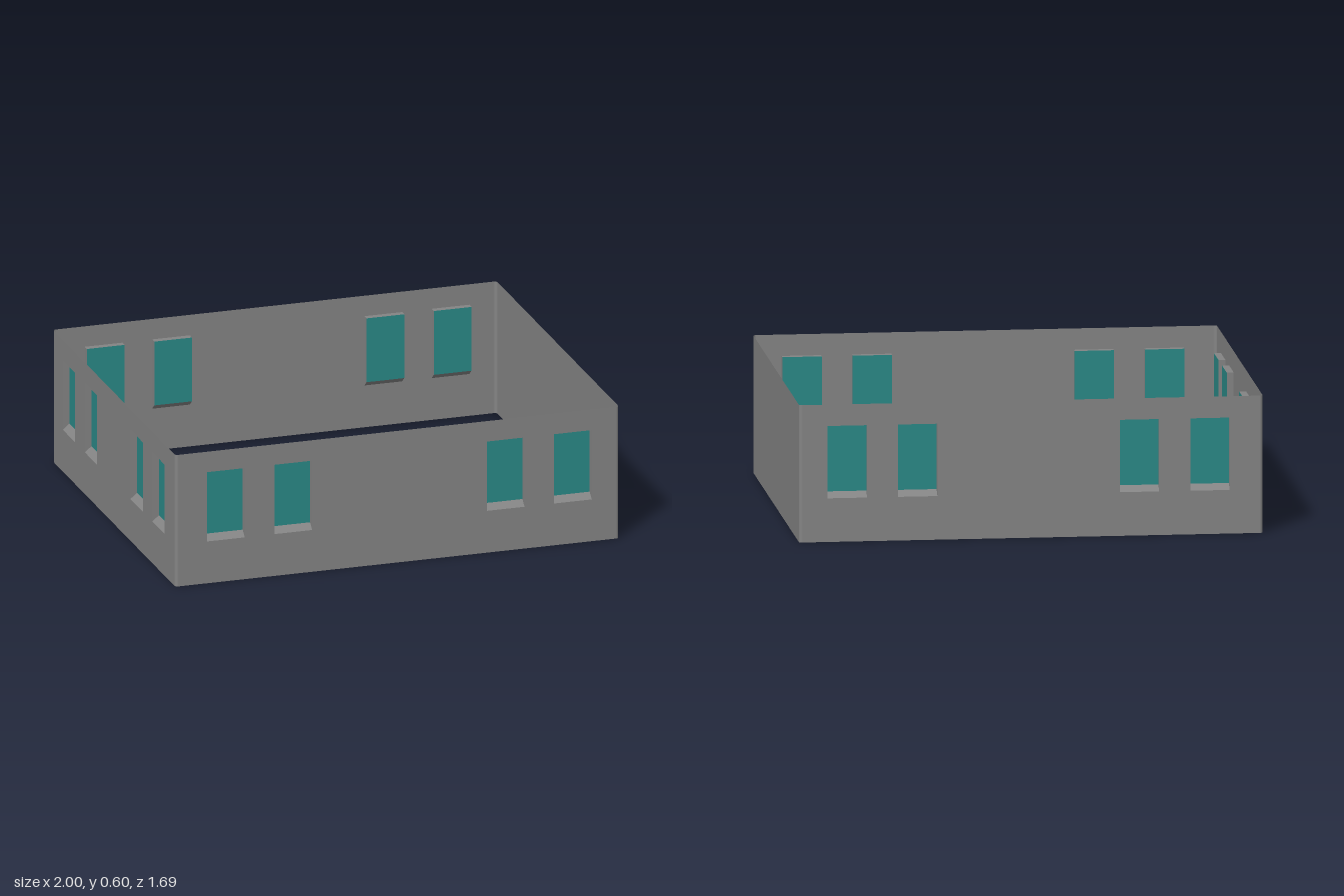
import * as THREE from 'three';

const HX = 1, HZ = 0.844, H = 0.598, R = 0.014; // half sizes, wall height, corner radius
const W = 0.17, SILL = 0.19, TOP = 0.505, RISE = 0.025, DEPTH = 0.03; // window opening

const grey = new THREE.MeshStandardMaterial({ color: 0x848484, side: THREE.DoubleSide });
const teal = new THREE.MeshStandardMaterial({ color: 0x2a8886, side: THREE.DoubleSide });

function mesh(name, geometry, material) {
  const m = new THREE.Mesh(geometry, material);
  m.name = name;
  return m;
}

function rectangle(path, x0, y0, x1, y1) {
  path.moveTo(x0, y0);
  path.lineTo(x1, y0);
  path.lineTo(x1, y1);
  path.lineTo(x0, y1);
  path.closePath();
  return path;
}

// Four faces joining the wall opening to the recessed pane; the sill slopes up inwards
function revealGeometry() {
  const h = W / 2;
  const outer = [[-h, SILL, 0], [h, SILL, 0], [h, TOP, 0], [-h, TOP, 0]];
  const inner = [[-h, SILL + RISE, -DEPTH], [h, SILL + RISE, -DEPTH], [h, TOP, -DEPTH], [-h, TOP, -DEPTH]];
  const pos = [];
  for (let i = 0; i < 4; i++) {
    const j = (i + 1) % 4;
    for (const p of [outer[i], outer[j], inner[j], outer[i], inner[j], inner[i]]) pos.push(...p);
  }
  const g = new THREE.BufferGeometry();
  g.setAttribute('position', new THREE.Float32BufferAttribute(pos, 3));
  g.computeVertexNormals();
  return g;
}

function makeWindow(x) {
  const win = new THREE.Group();
  win.name = 'window';
  const glassHeight = TOP - SILL - RISE;
  const glass = mesh('windowPane', new THREE.PlaneGeometry(W, glassHeight), teal);
  glass.position.set(0, TOP - glassHeight / 2, -DEPTH);
  win.add(mesh('windowReveal', revealGeometry(), grey), glass);
  win.position.x = x;
  return win;
}

// Thin wall facing its local +z, pierced at the given window centres
function makeWall(name, halfWidth, distance, angle, centres) {
  const wall = new THREE.Group();
  wall.name = name;
  const shape = rectangle(new THREE.Shape(), -halfWidth + R, 0, halfWidth - R, H);
  for (const c of centres) {
    shape.holes.push(rectangle(new THREE.Path(), c - W / 2, SILL, c + W / 2, TOP));
    wall.add(makeWindow(c));
  }
  wall.add(mesh(name + 'Panel', new THREE.ShapeGeometry(shape), grey));
  wall.rotation.y = angle;
  wall.position.set(Math.sin(angle) * distance, 0, Math.cos(angle) * distance);
  return wall;
}

export function createModel() {
  const model = new THREE.Group();
  model.name = 'roomWalls';
  const longCentres = [-0.772, -0.468, 0.489, 0.792];
  const sideCentres = [-0.622, -0.318, 0.31, 0.612];
  model.add(
    makeWall('frontWall', HX, HZ, 0, longCentres),
    makeWall('backWall', HX, HZ, Math.PI, longCentres.map((c) => -c)),
    makeWall('windowedSideWall', HZ, HX, -Math.PI / 2, sideCentres),
    makeWall('plainSideWall', HZ, HX, Math.PI / 2, []),
  );

  // Slightly rounded vertical corners
  [[1, 1], [1, -1], [-1, -1], [-1, 1]].forEach(([sx, sz], i) => {
    const g = new THREE.CylinderGeometry(R, R, H, 8, 1, true, i * Math.PI / 2, Math.PI / 2);
    const corner = mesh('wallCorner', g, grey);
    corner.position.set(sx * (HX - R), H / 2, sz * (HZ - R));
    model.add(corner);
  });
  return model;
}
